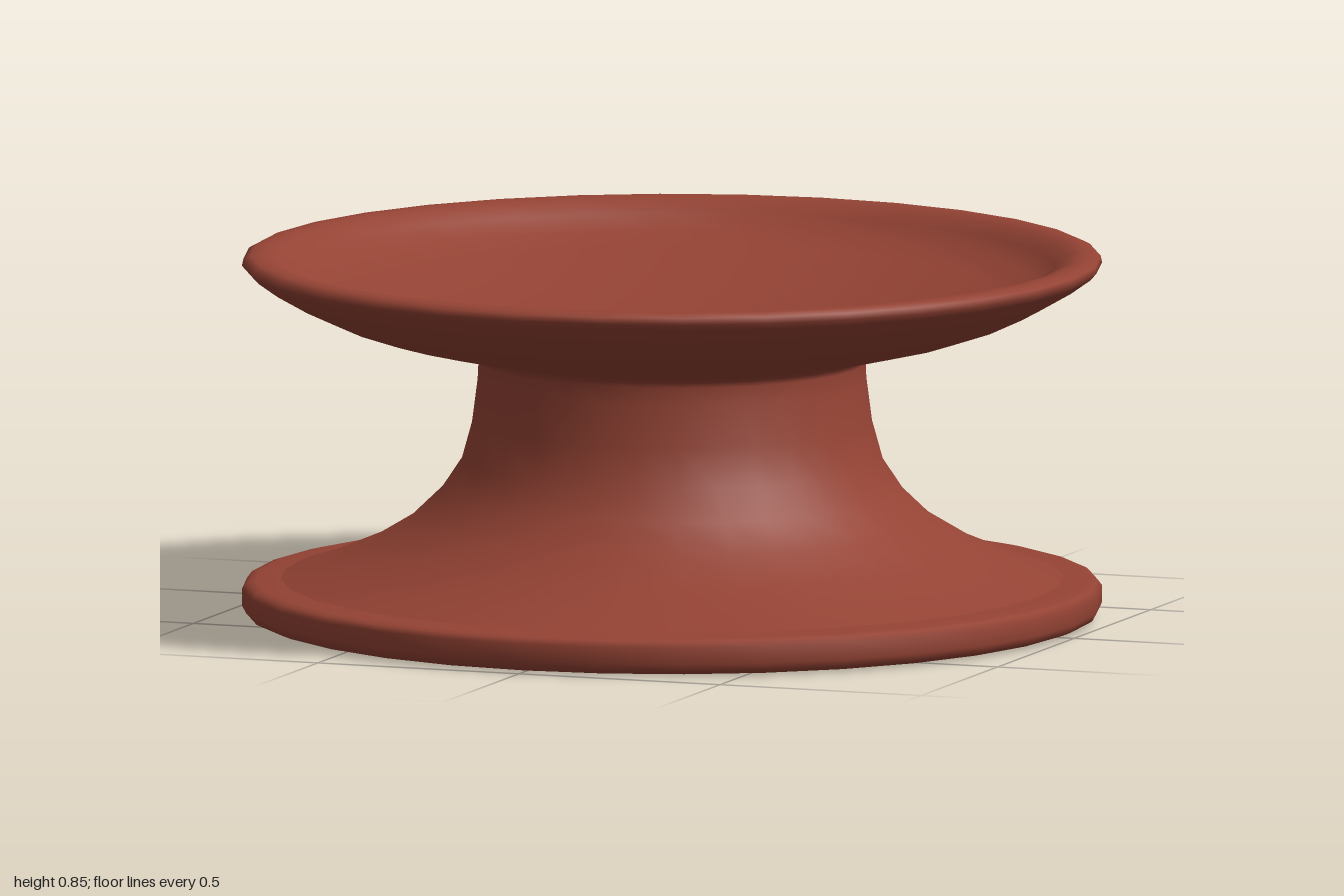
import * as THREE from 'three';

const SIDES = 32;

// Revolve a profile of [radius, height] pairs, listed from the bottom centre outwards and up
function turned(name, profile, material) {
  const points = profile.map(([r, y]) => new THREE.Vector2(r, y));
  const mesh = new THREE.Mesh(new THREE.LatheGeometry(points, SIDES), material);
  mesh.name = name;
  return mesh;
}

export function createModel() {
  const group = new THREE.Group();
  group.name = 'turnedKnob';
  const clay = new THREE.MeshStandardMaterial({ color: 0x944334 });
  clay.name = 'redBrown';

  // Flat disc with a softly rounded edge
  group.add(turned('baseDisc', [
    [0, 0], [0.9, 0], [0.97, 0.004], [0.99, 0.012], [1, 0.03],
    [1, 0.07], [0.99, 0.083], [0.97, 0.088], [0.91, 0.092],
  ], clay));

  // Flared neck sweeping up from the disc to the underside of the dish
  group.add(turned('neck', [
    [0.91, 0.092], [0.82, 0.122], [0.71, 0.168], [0.61, 0.228], [0.54, 0.295],
    [0.49, 0.37], [0.465, 0.46], [0.452, 0.56], [0.45, 0.6],
    [0.455, 0.613], [0.47, 0.622],
  ], clay));

  // Shallow dish: outer bowl, rounded rim, then the hollow inside
  const hollow = [];
  for (let i = 0; i <= 10; i++) {
    const r = 0.85 * (1 - i / 10);
    hollow.push([r, 0.66 + 0.125 * (r / 0.85) ** 2]);
  }
  group.add(turned('dish', [
    [0.47, 0.622], [0.6, 0.649], [0.7, 0.673], [0.79, 0.703], [0.87, 0.74],
    [0.94, 0.78], [0.985, 0.812], [1, 0.828], [0.997, 0.843], [0.98, 0.852],
    [0.95, 0.853], [0.92, 0.843], [0.89, 0.82], ...hollow,
  ], clay));

  return group;
}
